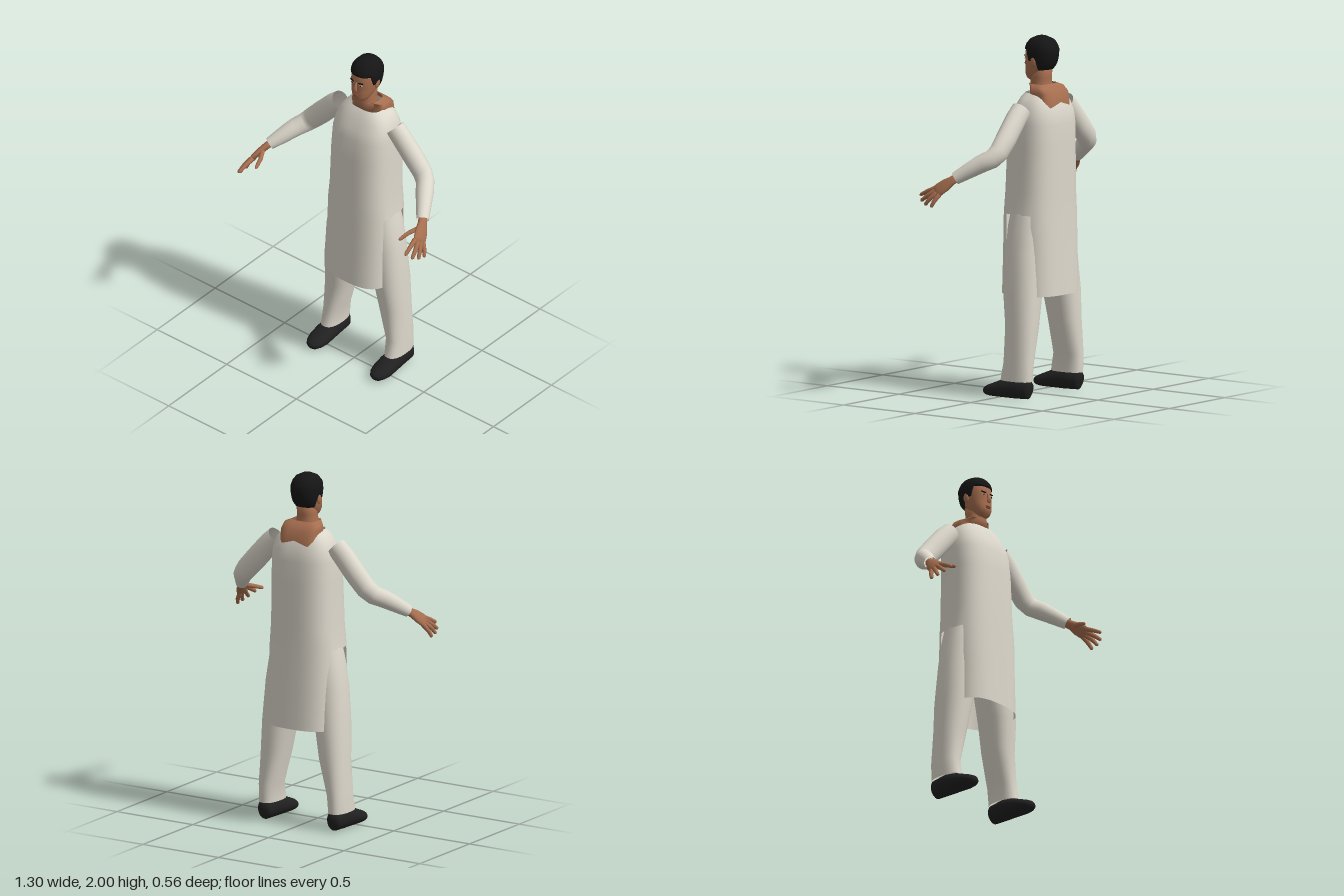
import * as THREE from 'three';

const mat = (name, color, side = THREE.FrontSide) => {
  const m = new THREE.MeshStandardMaterial({ color, side });
  m.name = name;
  return m;
};
const lerp = THREE.MathUtils.lerp, smooth = THREE.MathUtils.smoothstep;
const V = (x, y, z) => new THREE.Vector3(x, y, z);

// Skin over a list of closed rings of equal length
function loft(name, rings, material, { caps = true, skip = () => false } = {}) {
  const n = rings[0].length, last = (rings.length - 1) * n;
  const pts = rings.flat(), idx = [];
  for (let i = 0; i < rings.length - 1; i++) {
    for (let j = 0; j < n; j++) {
      const a = i * n + j, b = i * n + (j + 1) % n, c = b + n, d = a + n;
      if (!skip(pts[a], pts[b], pts[d])) idx.push(a, d, b, b, d, c);
    }
  }
  if (caps) {
    const mid = r => r.reduce((s, p) => s.add(p), V(0, 0, 0)).divideScalar(n);
    const c0 = pts.push(mid(rings[0])) - 1, c1 = pts.push(mid(rings.at(-1))) - 1;
    for (let j = 0; j < n; j++) {
      const k = (j + 1) % n;
      idx.push(c0, j, k, c1, last + k, last + j);
    }
  }
  const g = new THREE.BufferGeometry().setFromPoints(pts);
  g.setIndex(idx);
  g.computeVertexNormals();
  const mesh = new THREE.Mesh(g, material);
  mesh.name = name;
  return mesh;
}

// Level superellipse ring
const sup = (v, p) => Math.sign(v) * Math.abs(v) ** (2 / p);
function ring([y, hw, zf, zb, cx = 0], p = 2.3, n = 32) {
  return Array.from({ length: n }, (_, j) => {
    const t = j / n * Math.PI * 2;
    return V(cx + hw * sup(Math.cos(t), p), y, (zf + zb) / 2 + (zf - zb) / 2 * sup(Math.sin(t), p));
  });
}

// Tube along points [x, y, z, wide radius, thin radius]; ref is the wide direction
function limb(name, rows, ref, material, s = 1, caps = true, n = 16) {
  const c = rows.map(r => V(r[0] * s, r[1], r[2]));
  const rings = rows.map((r, i) => {
    const t = c[Math.min(i + 1, c.length - 1)].clone().sub(c[Math.max(i - 1, 0)]).normalize();
    const u = V(ref[0] * s, ref[1], ref[2]);
    u.addScaledVector(t, -u.dot(t)).normalize();
    const v = u.clone().cross(t);
    return Array.from({ length: n }, (_, j) => {
      const a = j / n * Math.PI * 2;
      return c[i].clone().addScaledVector(u, r[3] * Math.cos(a)).addScaledVector(v, r[4] * Math.sin(a));
    });
  });
  return loft(name, rings, material, { caps });
}

function blob(name, pos, scale, material) {
  const m = new THREE.Mesh(new THREE.SphereGeometry(1, 16, 12), material);
  m.name = name;
  m.position.set(...pos);
  m.scale.set(...scale);
  return m;
}

// Head rows: y, half width, front z, back z
const HEAD = [
  [1.75, .028, -.04, -.085], [1.763, .042, -.02, -.105], [1.79, .057, -.013, -.135],
  [1.82, .066, -.016, -.17], [1.85, .071, -.017, -.187], [1.88, .074, -.015, -.197],
  [1.92, .075, -.02, -.2], [1.95, .068, -.033, -.19], [1.975, .048, -.055, -.167], [1.99, .015, -.095, -.125],
];
function headAt(y) {
  let i = 0;
  while (i < HEAD.length - 2 && HEAD[i + 1][0] < y) i++;
  const a = HEAD[i], b = HEAD[i + 1], t = (y - a[0]) / (b[0] - a[0]);
  return a.map((v, k) => lerp(v, b[k], t));
}

export function createModel() {
  const cloth = mat('off-white cloth', 0xdcd7cb, THREE.DoubleSide);
  const skin = mat('skin', 0xa66e4f, THREE.DoubleSide);
  const black = mat('hair black', 0x151515, THREE.DoubleSide);
  const leather = mat('shoe black', 0x202021);
  const lip = mat('lips', 0x85493a);
  const white = mat('eye white', 0xc9c0b4);
  const g = new THREE.Group();
  g.name = 'figure';

  // Long tunic, slit at both sides below the waist
  const tunic = [
    [.57, .21, .08, -.28], [.8, .207, .073, -.273], [1.02, .208, .066, -.266], [1.15, .197, .06, -.265],
    [1.4, .192, .05, -.265], [1.52, .19, .035, -.262], [1.58, .181, .017, -.255],
    [1.63, .163, -.008, -.238], [1.665, .138, -.025, -.222], [1.69, .108, -.045, -.2],
  ].map(r => ring(r, 2.8, 64));
  g.add(loft('tunic', tunic, cloth, {
    caps: false,
    skip: (a, b, d) => d.y < 1.03 && Math.abs(a.x) > .15 && (a.z + b.z) / 2 < -.02 && (a.z + b.z) / 2 > -.19,
  }));

  // Bare shoulders at the neckline, lower at the back corners
  const yoke = [[1.64, .116, -.09, -.243], [1.69, .115, -.09, -.23], [1.722, .11, -.095, -.195], [1.737, .075, -.06, -.175]]
    .map(r => ring(r, 4));
  for (const p of yoke[0]) if (p.z < -.2) p.y -= .035 * Math.abs(p.x) / .116;
  g.add(loft('shoulders', yoke, skin, { caps: false }));
  g.add(loft('neck', [[1.68, .068, -.05, -.175], [1.73, .06, -.048, -.165], [1.77, .055, -.055, -.162], [1.83, .055, -.06, -.17]]
    .map(r => ring(r)), skin));

  // Head and face
  const head = new THREE.Group();
  head.name = 'head';
  g.add(head);
  head.add(loft('face', HEAD.map(r => ring(r)), skin));
  head.add(limb('nose', [[0, 1.885, -.018, .006, .006], [0, 1.855, -.008, .009, .008], [0, 1.838, -.004, .014, .01],
    [0, 1.828, -.012, .011, .006]], [1, 0, 0], skin));
  head.add(blob('upperLip', [0, 1.804, -.014], [.021, .004, .006], lip));
  head.add(blob('lowerLip', [0, 1.796, -.014], [.017, .005, .006], lip));
  for (const s of [1, -1]) {
    head.add(blob('eye', [.03 * s, 1.871, -.021], [.012, .005, .004], white));
    head.add(blob('pupil', [.03 * s, 1.871, -.0185], [.005, .005, .003], black));
    const brow = blob('eyebrow', [.031 * s, 1.886, -.019], [.018, .0035, .005], black);
    brow.rotation.set(0, .25 * s, .12 * s);
    head.add(brow);
    const ear = blob('ear', [.077 * s, 1.862, -.108], [.009, .031, .018], skin);
    ear.rotation.x = -.15;
    head.add(ear);
  }

  // Short hair: high over the forehead, sideburns, low at the nape
  const hair = [];
  for (let k = 0; k <= 10; k++) {
    const t = k / 10;
    hair.push(Array.from({ length: 48 }, (_, j) => {
      const s = Math.sin(j / 48 * Math.PI * 2);
      const hem = lerp(1.815, 1.865, smooth(s, -.5, -.1)) + .06 * smooth(s, .25, .5);
      const [y, hw, zf, zb] = headAt(lerp(hem, 1.99, t));
      const o = .009 * smooth(t, -.2, .15);
      return ring([y + .01 * t, hw + o, zf + o, zb - o], 2.3, 48)[j];
    }));
  }
  head.add(loft('hair', hair, black));

  for (const s of [1, -1]) {
    const side = s > 0 ? 'left' : 'right';

    // Sleeve, open at the shoulder
    g.add(limb(side + 'Sleeve', [
      [.195, 1.608, -.117, .053, .058], [.24, 1.565, -.117, .054, .062], [.33, 1.465, -.118, .054, .063],
      [.395, 1.395, -.116, .052, .06], [.43, 1.36, -.095, .05, .055], [.465, 1.335, -.05, .05, .052],
      [.51, 1.29, .015, .042, .044], [.55, 1.25, .07, .035, .034],
    ], [0, 0, 1], cloth, s, false, 24));

    // Hand with spread fingers
    const hand = new THREE.Group();
    hand.name = side + 'Hand';
    const across = [-.02, .03, .055];
    hand.add(limb('palm', [
      [.54, 1.26, .055, .026, .022], [.56, 1.238, .085, .028, .02], [.578, 1.213, .115, .04, .019],
      [.596, 1.185, .15, .043, .016], [.602, 1.172, .165, .036, .011],
    ], across, skin, s));
    const fingers = {
      indexFinger: [[.585, 1.193, .178], [.592, 1.17, .23], [.597, 1.145, .278]],
      middleFinger: [[.598, 1.18, .17], [.616, 1.148, .215], [.624, 1.117, .252]],
      ringFinger: [[.604, 1.17, .153], [.628, 1.135, .188], [.638, 1.1, .213]],
      littleFinger: [[.606, 1.163, .135], [.631, 1.127, .153], [.642, 1.092, .168]],
      thumb: [[.562, 1.225, .115], [.532, 1.208, .17], [.515, 1.187, .232]],
    };
    for (const [name, [a, b, c]] of Object.entries(fingers)) {
      const tip = c.map((v, k) => lerp(b[k], v, .85));
      hand.add(limb(name, [[...a, .014, .014], [...b, .012, .012], [...tip, .01, .01], [...c, .004, .004]], across, skin, s, true, 10));
    }
    g.add(hand);

    // Trouser leg
    g.add(loft(side + 'Trouser', [
      [.1, .053, -.01, -.21, .228], [.2, .055, -.03, -.215, .225], [.4, .08, -.028, -.215, .192],
      [.57, .09, -.005, -.22, .175], [.8, .115, 0, -.212, .135], [.95, .107, 0, -.21, .117], [1.03, .1, -.01, -.2, .107],
    ].map(([y, hw, zf, zb, cx]) => ring([y, hw, zf, zb, cx * s], 2.4)), cloth, { caps: false }));

    // Shoe
    g.add(limb(side + 'Shoe', [
      [.228, .055, -.205, .028, .042], [.228, .058, -.19, .044, .055], [.228, .06, -.1, .053, .06],
      [.228, .052, -.03, .06, .052], [.228, .04, .03, .062, .04], [.228, .033, .07, .052, .032],
      [.228, .028, .097, .034, .024], [.228, .025, .107, .014, .012],
    ], [1, 0, 0], leather, s, true, 24));
  }
  return g;
}
